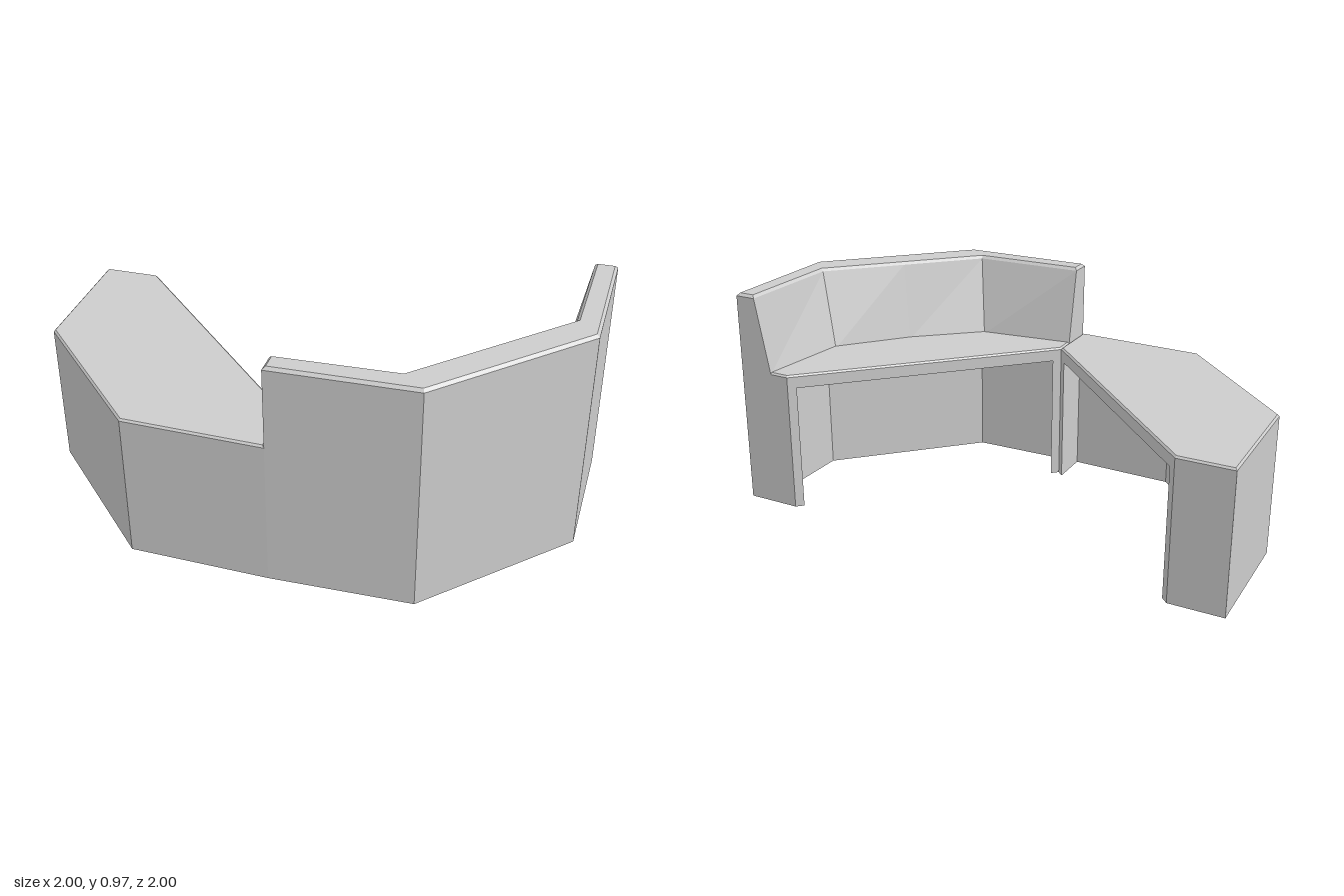
import * as THREE from 'three';

// Plan outlines as [x, z], running counter-clockwise seen from above
const OUTER = [[-0.6, 0.6], [-0.18, 1], [0.58, 1], [1, 0.6]];
const TOP = [...OUTER, [0.83, 0.43], [-0.43, 0.43]];
const WALLS = [...OUTER, [0.83, 0.43], [0.79, 0.43], [0.915, 0.555], [0.58, 0.875],
  [-0.18, 0.875], [-0.515, 0.555], [-0.39, 0.43], [-0.43, 0.43]];
const SCREEN_BASE = [...OUTER, [0.89, 0.49], [0.557, 0.753], [0.2, 0.78], [-0.157, 0.753], [-0.49, 0.49]];
const SCREEN_TOP = [...OUTER, [0.935, 0.535], [0.58, 0.865], [0.2, 0.865], [-0.18, 0.865], [-0.535, 0.535]];

// Moves every edge of an outline inward by t
function inset(points, t) {
  const n = points.length;
  const normal = (a, b) => {
    const dx = b[0] - a[0], dz = b[1] - a[1], l = Math.hypot(dx, dz);
    return [-dz / l, dx / l];
  };
  return points.map((p, i) => {
    const a = normal(points[(i + n - 1) % n], p);
    const b = normal(p, points[(i + 1) % n]);
    const k = t / (1 + a[0] * b[0] + a[1] * b[1]);
    return [p[0] - (a[0] + b[0]) * k, p[1] - (a[1] + b[1]) * k];
  });
}

// Capped solid through rings of { y, points }
function loft(rings) {
  const pos = [];
  const put = (ring, i) => pos.push(ring.points[i][0], ring.y, ring.points[i][1]);
  const n = rings[0].points.length;
  for (let r = 0; r + 1 < rings.length; r++) {
    const lo = rings[r], hi = rings[r + 1];
    for (let i = 0; i < n; i++) {
      const j = (i + 1) % n;
      put(lo, i); put(lo, j); put(hi, j);
      put(lo, i); put(hi, j); put(hi, i);
    }
  }
  const cap = (ring, up) => {
    const flat = ring.points.map(([x, z]) => new THREE.Vector2(x, -z));
    for (const [a, b, c] of THREE.ShapeUtils.triangulateShape(flat, [])) {
      for (const i of up ? [a, b, c] : [c, b, a]) put(ring, i);
    }
  };
  cap(rings[0], false);
  cap(rings[rings.length - 1], true);
  const geometry = new THREE.BufferGeometry();
  geometry.setAttribute('position', new THREE.Float32BufferAttribute(pos, 3));
  geometry.computeVertexNormals();
  return geometry;
}

export function createModel() {
  const grey = new THREE.MeshStandardMaterial({ color: 0xcccccc });
  grey.name = 'light grey';
  const model = new THREE.Group();
  model.name = 'cornerReceptionDesk';

  const add = (parent, name, rings) => {
    const mesh = new THREE.Mesh(loft(rings), grey);
    mesh.name = name;
    parent.add(mesh);
  };

  // Desk section: thick outer wall, thin end panels and a chamfered worktop
  const section = (name) => {
    const group = new THREE.Group();
    group.name = name;
    add(group, 'supportWalls', [{ y: 0, points: WALLS }, { y: 0.57, points: WALLS }]);
    add(group, 'worktop', [
      { y: 0.57, points: TOP },
      { y: 0.622, points: TOP },
      { y: 0.63, points: inset(TOP, 0.008) },
    ]);
    model.add(group);
    return group;
  };

  // Front section carries the raised screen with a sloping inner face
  const front = section('frontDesk');
  add(front, 'raisedScreen', [
    { y: 0.62, points: SCREEN_BASE },
    { y: 0.958, points: SCREEN_TOP },
    { y: 0.97, points: inset(SCREEN_TOP, 0.012) },
  ]);

  // Side section is the same desk turned a quarter, without a screen
  const side = section('sideDesk');
  side.rotation.y = -Math.PI / 2;
  side.position.z = -0.4;

  return model;
}
